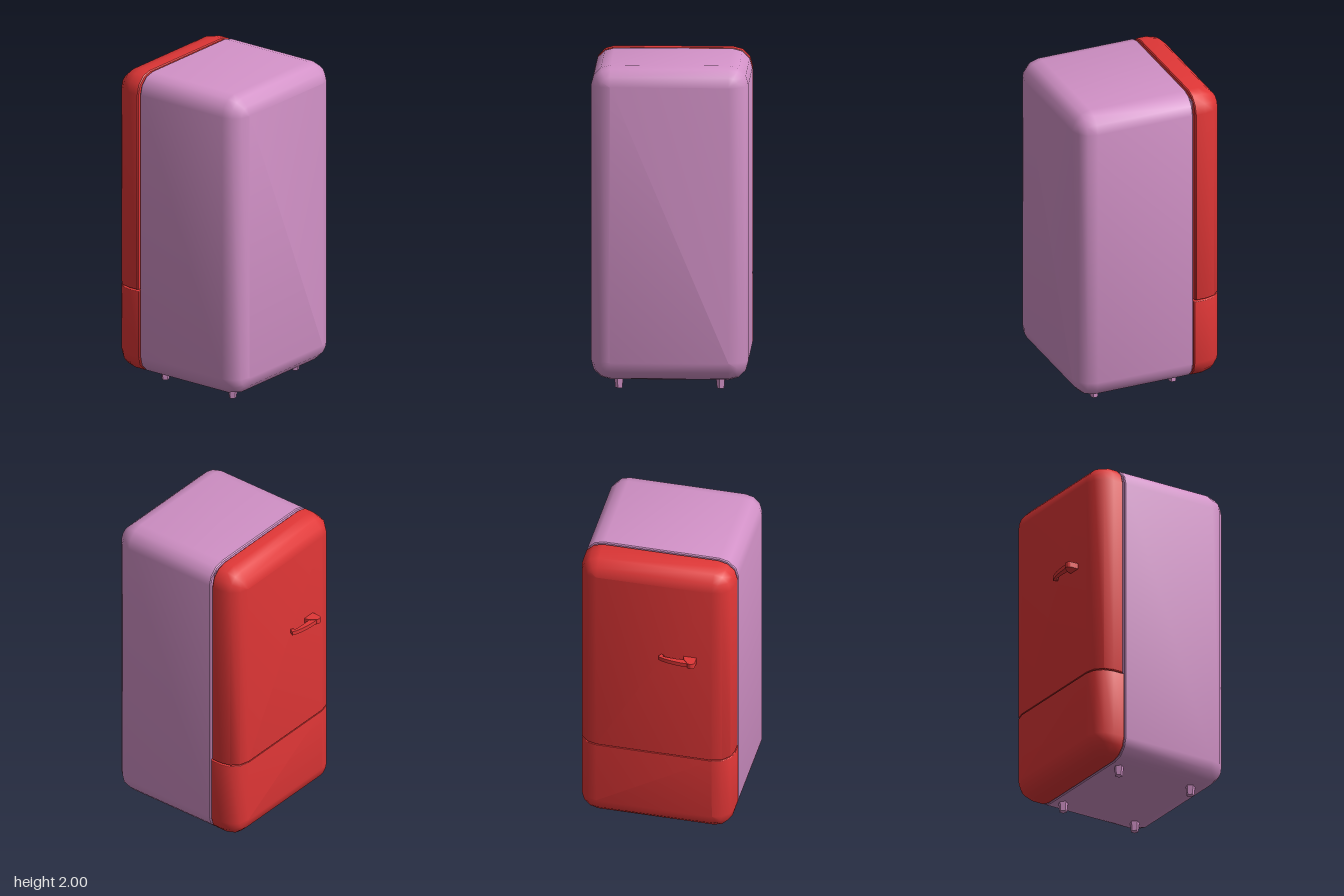
import * as THREE from 'three';
import { toCreasedNormals } from 'three/addons/utils/BufferGeometryUtils.js';

const pink = new THREE.MeshStandardMaterial({ color: 0xd392c8 });
const red = new THREE.MeshStandardMaterial({ color: 0xe03636 });

const R = 0.12;        // radius of the big rounded edges
const HALF_DEPTH = 0.48;
const STEPS = 3;

// Cross-section in the y-z plane; a flat bottom or top keeps nearly square corners.
function ring(x, inset, y0, y1, roundBottom, roundTop) {
  const corners = [[1, 1, 0], [-1, 1, 1], [-1, -1, 2], [1, -1, 3]];
  const points = [];
  for (const [sy, sz, quarter] of corners) {
    const rounded = sy > 0 ? roundTop : roundBottom;
    const r = rounded ? R - inset : 0.005;
    const edge = sy > 0 ? y1 : y0;
    const cy = edge - sy * (r + (rounded ? inset : 0));
    const cz = sz * (HALF_DEPTH - inset - r);
    for (let i = 0; i <= STEPS; i++) {
      const a = (quarter + i / STEPS) * Math.PI / 2;
      points.push([x, cy + r * Math.cos(a), cz + r * Math.sin(a)]);
    }
  }
  return points;
}

// Shell swept along x, from a flat mating face to a softly rounded outer face.
function roundedShell(flatX, outerX, y0, y1, roundBottom, roundTop) {
  const dir = Math.sign(outerX - flatX);
  const sections = [[flatX, 0.006], [flatX + dir * 0.006, 0]];
  for (let i = 0; i <= STEPS; i++) {
    const a = i / STEPS * Math.PI / 2;
    sections.push([outerX - dir * R * (1 - Math.sin(a)), 0.98 * R * (1 - Math.cos(a))]);
  }
  sections.sort((p, q) => p[0] - q[0]);
  const rings = sections.map(([x, inset]) => ring(x, inset, y0, y1, roundBottom, roundTop));
  const n = rings[0].length;
  const index = [];
  for (let s = 0; s < rings.length - 1; s++) {
    for (let j = 0; j < n; j++) {
      const a = s * n + j, b = s * n + (j + 1) % n;
      index.push(a, b, b + n, a, b + n, a + n);
    }
  }
  const last = (rings.length - 1) * n;
  for (let j = 1; j < n - 1; j++) {
    index.push(0, j + 1, j, last, last + j, last + j + 1);
  }
  const geometry = new THREE.BufferGeometry();
  geometry.setAttribute('position', new THREE.Float32BufferAttribute(rings.flat(2), 3));
  geometry.setIndex(index);
  return toCreasedNormals(geometry, 0.7);
}

// Flat shape drawn in x-z, given a thickness downward from the top height.
function plate(shape, top, thickness) {
  const geometry = new THREE.ExtrudeGeometry(shape, { depth: thickness, bevelEnabled: false, curveSegments: 6 });
  geometry.rotateX(Math.PI / 2).translate(0, top, 0);
  return toCreasedNormals(geometry, 0.6);
}

export function createModel() {
  const model = new THREE.Group();
  const add = (name, geometry, material, x = 0, y = 0, z = 0, parent = model) => {
    const mesh = new THREE.Mesh(geometry, material);
    mesh.name = name;
    mesh.position.set(x, y, z);
    parent.add(mesh);
    return mesh;
  };

  // Cabinet and the two doors
  add('cabinet', roundedShell(-0.24, 0.515, 0.06, 2, true, true), pink);
  add('upperDoor', roundedShell(-0.254, -0.443, 0.61, 2, false, true), red);
  add('lowerDoor', roundedShell(-0.244, -0.443, 0.06, 0.603, true, false), red);

  // Door seals and hinge pin in the gap
  add('upperSeal', new THREE.BoxGeometry(0.024, 1.3, 0.83), pink, -0.246, 1.31, -0.005);
  add('lowerSeal', new THREE.BoxGeometry(0.016, 0.37, 0.83), pink, -0.242, 0.385, -0.005);
  add('hingePin', new THREE.CylinderGeometry(0.007, 0.007, 1.36, 8), pink, -0.246, 1.28, -0.44);

  // Latch handle: rounded base on the door with a curved lever
  const handle = new THREE.Group();
  handle.name = 'handle';
  model.add(handle);
  const base = new THREE.Shape();
  base.moveTo(-0.44, 0.185);
  base.lineTo(-0.44, 0.267);
  base.lineTo(-0.49, 0.267);
  base.absarc(-0.49, 0.241, 0.026, Math.PI / 2, Math.PI * 1.42, false);
  base.quadraticCurveTo(-0.475, 0.187, -0.44, 0.185);
  add('handleBase', plate(base, 1.375, 0.035), red, 0, 0, 0, handle);

  const lever = new THREE.Shape();
  lever.moveTo(-0.508, 0.225);
  lever.quadraticCurveTo(-0.505, 0.09, -0.472, 0.031);
  lever.lineTo(-0.446, 0.047);
  lever.lineTo(-0.455, 0.064);
  lever.lineTo(-0.466, 0.058);
  lever.quadraticCurveTo(-0.476, 0.11, -0.47, 0.205);
  add('handleLever', plate(lever, 1.37, 0.026), red, 0, 0, 0, handle);

  // Tapered feet
  const foot = new THREE.CylinderGeometry(0.031, 0.024, 0.07, 5);
  for (const x of [-0.175, 0.345]) {
    for (const z of [-0.31, 0.31]) {
      add('foot', toCreasedNormals(foot, 0.5), pink, x, 0.035, z);
    }
  }
  return model;
}
